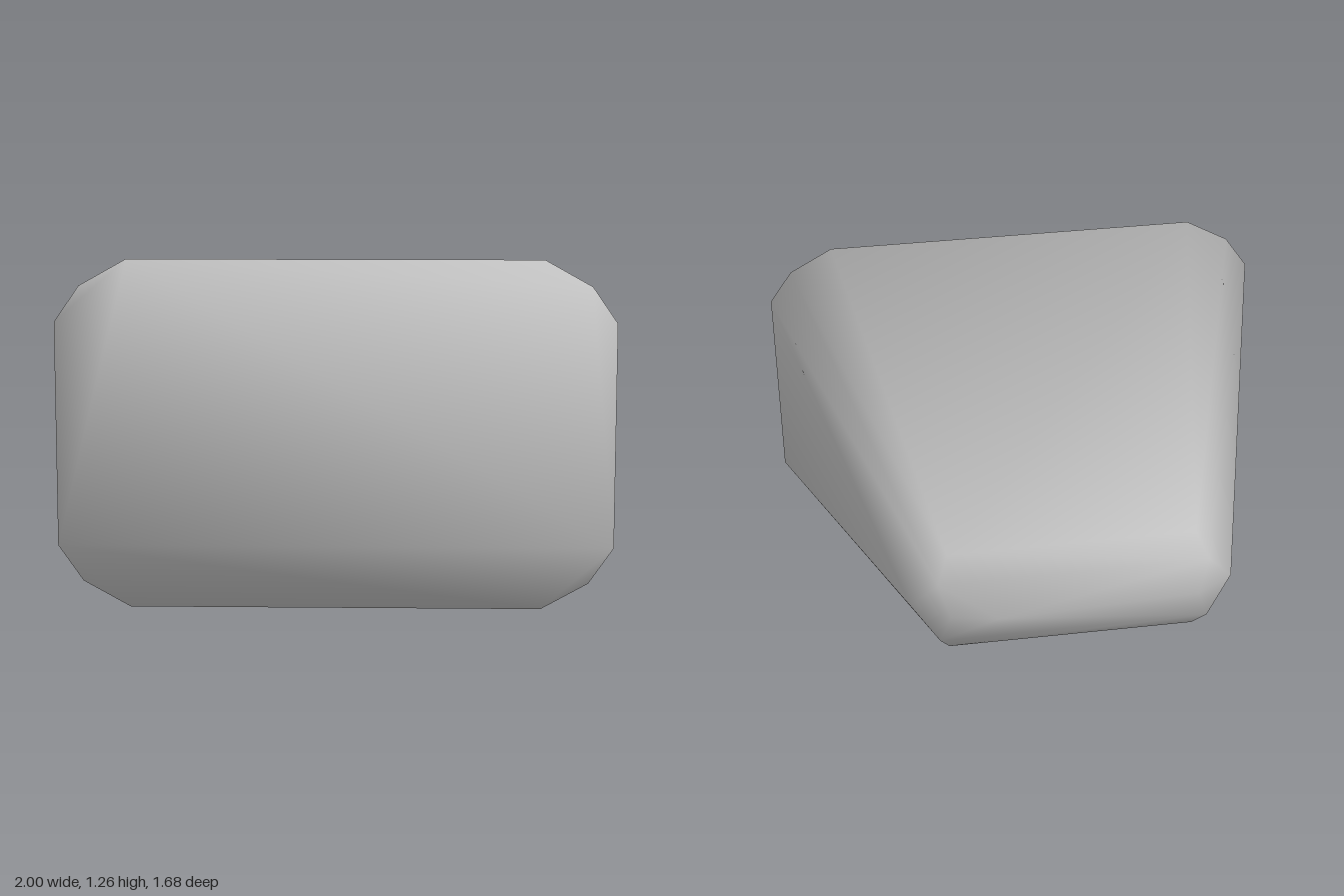
import * as THREE from 'three';
import { ConvexGeometry } from 'three/addons/geometries/ConvexGeometry.js';
import { mergeVertices } from 'three/addons/utils/BufferGeometryUtils.js';

const MID = 0.63; // height of the horizontal symmetry plane

// Weld the corners and give each a normal averaged by face angle
function smoothByAngle(source) {
  source.deleteAttribute('normal');
  source.deleteAttribute('uv');
  const geo = mergeVertices(source, 1e-4);
  const pos = geo.attributes.position, index = geo.index.array;
  const normals = Array.from({ length: pos.count }, () => new THREE.Vector3());
  for (let i = 0; i < index.length; i += 3) {
    const ids = [index[i], index[i + 1], index[i + 2]];
    const p = ids.map((id) => new THREE.Vector3().fromBufferAttribute(pos, id));
    const faceNormal = new THREE.Triangle(...p).getNormal(new THREE.Vector3());
    ids.forEach((id, k) => {
      const a = p[(k + 1) % 3].clone().sub(p[k]);
      const b = p[(k + 2) % 3].clone().sub(p[k]);
      normals[id].addScaledVector(faceNormal, a.angleTo(b));
    });
  }
  const out = normals.flatMap((n) => n.normalize().toArray());
  geo.setAttribute('normal', new THREE.Float32BufferAttribute(out, 3));
  return geo;
}

export function createModel() {
  const group = new THREE.Group();
  const grey = new THREE.MeshStandardMaterial({ color: 0xc0c0c0 });
  grey.name = 'light grey';

  // One quarter of the outline: x, height from the middle, z
  const quarter = [
    // broad flat front with clipped corners
    [0.74, 0.63, 0.84], [0.91, 0.535, 0.84], [1, 0.405, 0.84],
    // narrow rounded back
    [0.46, 0.215, -0.715], [0.5, 0.13, -0.78], [0.6, 0, -0.72], [0.46, 0, -0.81],
  ];
  const points = [new THREE.Vector3(0.29, MID, -0.845)]; // off-centre back tip
  for (const [x, h, z] of quarter) {
    for (const sx of [-1, 1]) {
      for (const sy of h ? [-1, 1] : [1]) {
        points.push(new THREE.Vector3(sx * x, MID + sy * h, z));
      }
    }
  }

  const block = new THREE.Mesh(smoothByAngle(new ConvexGeometry(points)), grey);
  block.name = 'taperedBlock';
  group.add(block);
  return group;
}
